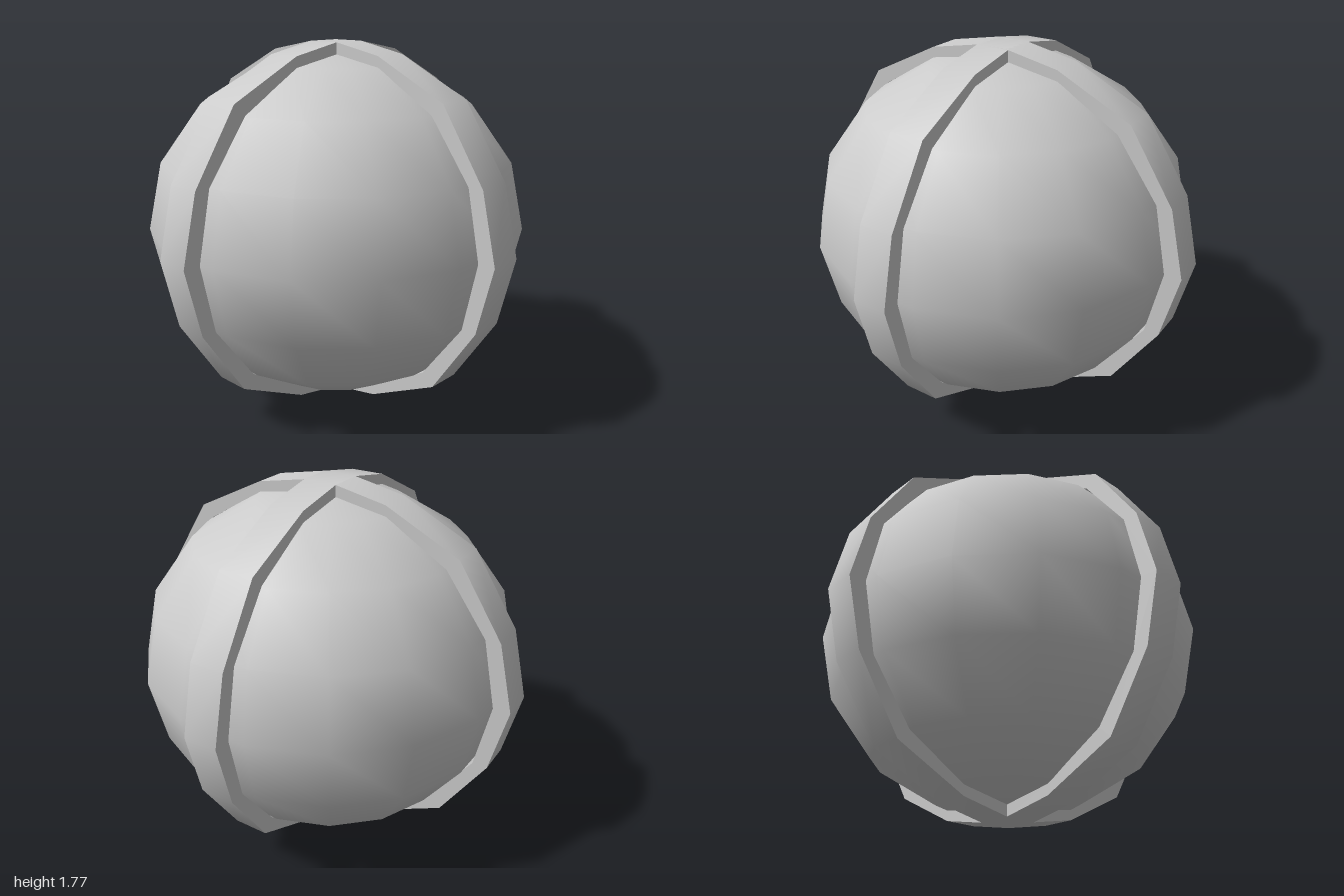
import * as THREE from 'three';
import { toCreasedNormals } from 'three/addons/utils/BufferGeometryUtils.js';

const CENTRE_Y = 0.885;
const BAND_WIDTH = 0.17;

// Mirrors a quarter outline (side to top) into a closed loop
function closedOutline(quarter) {
  const half = [...quarter, ...quarter.map(([x, y]) => [-x, y]).reverse()];
  const lower = half.slice(1, -1).map(([x, y]) => [x, -y]).reverse();
  return [...half, ...lower].map(([x, y]) => new THREE.Vector2(x, y));
}

export function createModel() {
  const model = new THREE.Group();
  model.name = 'bandedBall';
  const material = new THREE.MeshStandardMaterial({ color: 0xcccccc });

  // Slightly squashed ball, turned so its facets are offset from the bands
  const ball = new THREE.Mesh(new THREE.SphereGeometry(0.925, 16, 8), material);
  ball.name = 'ball';
  ball.scale.y = 0.85 / 0.925;
  ball.rotation.y = THREE.MathUtils.degToRad(10);
  ball.position.y = CENTRE_Y;
  model.add(ball);

  // Band profile: faceted ring with a flat top and bottom
  const ring = new THREE.Shape(closedOutline(
    [[1, 0], [0.922, 0.325], [0.703, 0.66], [0.34, 0.836], [0.085, 0.885]]));
  ring.holes.push(new THREE.Path(closedOutline(
    [[0.918, 0], [0.85, 0.325], [0.645, 0.605], [0.34, 0.785], [0.085, 0.83]])));
  const extruded = new THREE.ExtrudeGeometry(ring, { depth: BAND_WIDTH, bevelEnabled: false });
  extruded.translate(0, 0, -BAND_WIDTH / 2);
  const bandGeometry = toCreasedNormals(extruded, 0.6);

  // Two upright bands crossing at the poles
  ['sideToSideBand', 'frontToBackBand'].forEach((name, i) => {
    const band = new THREE.Mesh(bandGeometry, material);
    band.name = name;
    band.rotation.y = i * Math.PI / 2;
    band.position.y = CENTRE_Y;
    model.add(band);
  });

  return model;
}
